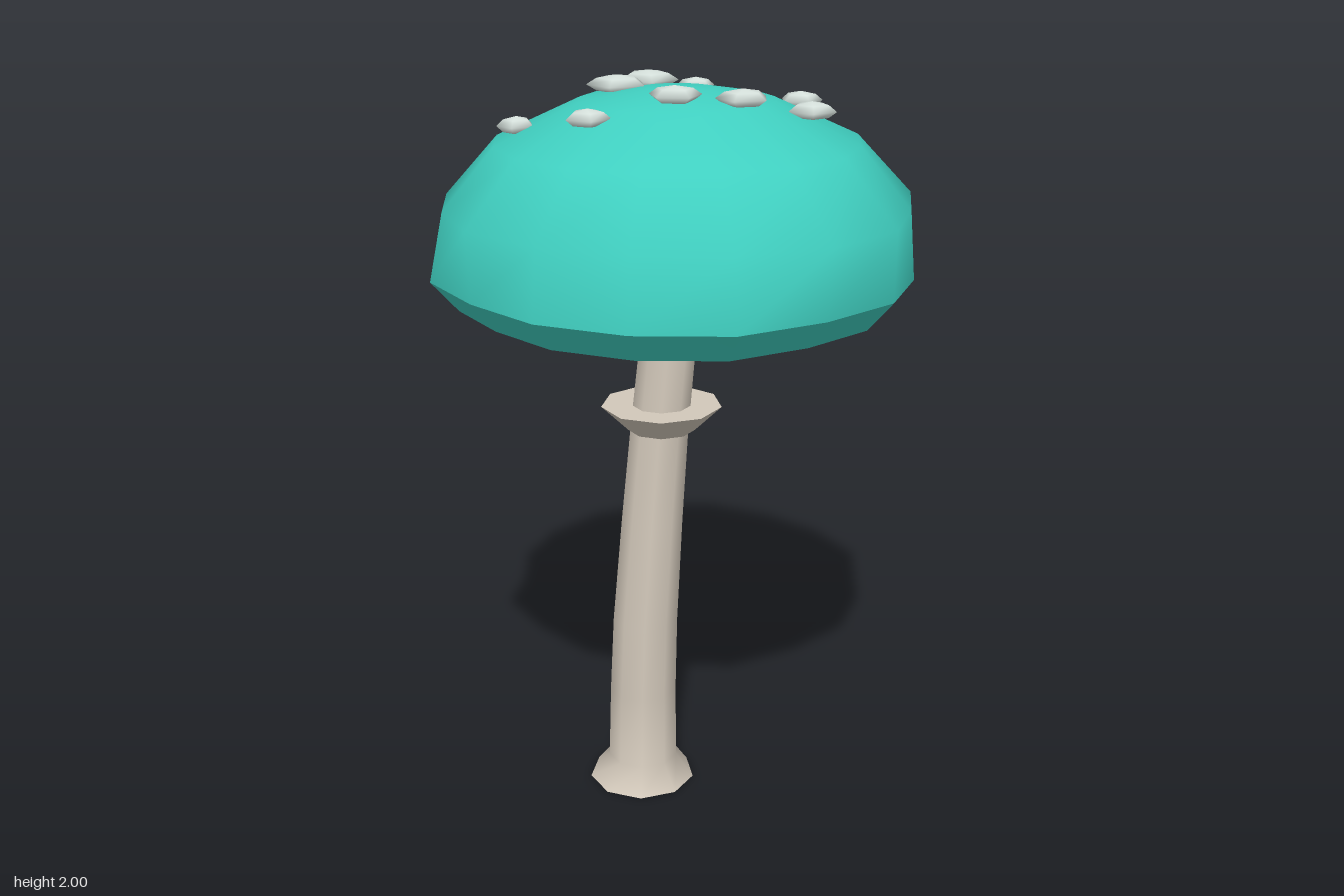
import * as THREE from 'three';

const teal = new THREE.MeshStandardMaterial({ color: 0x40cfc0 });
teal.name = 'capTeal';
const cream = new THREE.MeshStandardMaterial({ color: 0xd2c8ba });
cream.name = 'stemCream';
const pale = new THREE.MeshStandardMaterial({ color: 0xd4dfda });
pale.name = 'spotPale';

// One horizontal ring of points; r is a radius or a function of the corner index.
function ring(n, r, y, x = 0, z = 0, turn = 0) {
  return Array.from({ length: n }, (_, i) => {
    const a = turn + (i / n) * Math.PI * 2;
    const k = typeof r === 'function' ? r(i) : r;
    return [x + k * Math.cos(a), y, z + k * Math.sin(a)];
  });
}

// Smooth skin through successive rings (upward faces out, centre-to-rim faces down).
function loft(name, rings, material) {
  const n = rings[0].length;
  const index = [];
  for (let j = 0; j < rings.length - 1; j++) {
    for (let i = 0; i < n; i++) {
      const a = j * n + i, b = j * n + ((i + 1) % n);
      index.push(a, a + n, b, b, a + n, b + n);
    }
  }
  const geo = new THREE.BufferGeometry();
  geo.setAttribute('position', new THREE.Float32BufferAttribute(rings.flat(2), 3));
  geo.setIndex(index);
  geo.computeVertexNormals();
  const mesh = new THREE.Mesh(geo, material);
  mesh.name = name;
  return mesh;
}

function buildCap() {
  const cap = new THREE.Group();
  cap.name = 'cap';
  // Slightly uneven radii for the two widest rings
  const low = [.62, .63, .62, .645, .635, .628, .615, .648, .6, .61, .615, .62, .63, .623, .62, .62];
  const high = [.605, .632, .636, .62, .62, .61, .622, .61, .625, .628, .64, .648, .635, .61, .615, .64];
  const rim = ring(16, i => low[i], 1.5);
  const base = ring(16, i => low[i] * 0.89, 1.42);
  cap.add(
    loft('capDome', [
      rim,
      ring(16, i => high[i], 1.68),
      ring(16, i => 0.48 + (high[i] - 0.625) * 0.4, 1.84),
      ring(16, 0.255, 1.945),
      ring(16, 0.1, 1.972),
      ring(16, 0, 1.978),
    ], teal),
    loft('capSkirt', [base, rim], teal),
    loft('capUnderside', [ring(16, 0, 1.42), base], teal),
  );
  return cap;
}

function buildStem() {
  const stem = new THREE.Group();
  stem.name = 'stem';
  // Height, radius, centre x, centre z along the gentle lean
  const path = [
    [0, .15, -.095, .05], [.07, .098, -.092, .05], [.28, .094, -.09, .048], [.5, .091, -.083, .044],
    [.8, .085, -.064, .035], [1.06, .08, -.045, .024], [1.44, .075, -.01, .01],
  ];
  const rings = path.map(([y, r, x, z]) => ring(9, r, y, x, z));
  stem.add(
    loft('stemShaft', rings, cream),
    loft('stemFoot', [ring(9, 0, 0, -.095, .05), rings[0]], cream),
  );
  return stem;
}

// Flared collar around the stem
function buildCollar() {
  const collar = new THREE.Group();
  collar.name = 'collar';
  const x = -.04, z = .017;
  const bottom = ring(9, .092, 1.06, x, z), top = ring(9, .165, 1.13, x, z);
  collar.add(
    loft('collarFlare', [bottom, top], cream),
    loft('collarTop', [top, ring(9, 0, 1.13, x, z)], cream),
    loft('collarBottom', [ring(9, 0, 1.06, x, z), bottom], cream),
  );
  return collar;
}

function buildSpots() {
  const spots = new THREE.Group();
  spots.name = 'spots';
  // x, z, radius, height of the middle
  const places = [
    [-.105, -.155, .078, 1.973], [-.165, -.045, .078, 1.973], [0, -.285, .052, 1.94],
    [.29, -.245, .056, 1.915], [.345, .005, .062, 1.925], [.185, .11, .067, 1.967],
    [.02, .145, .067, 1.976], [-.175, .255, .057, 1.93], [-.395, .11, .049, 1.884],
  ];
  places.forEach(([x, z, r, y], i) => {
    const t = i * 0.35;
    spots.add(loft('spot' + (i + 1), [
      ring(5, 0, y - .02, x, z, t),
      ring(5, r * .7, y - .016, x, z, t),
      ring(5, r * 1.04, y, x, z, t),
      ring(5, r * .7, y + .016, x, z, t),
      ring(5, 0, y + .024, x, z, t),
    ], pale));
  });
  return spots;
}

export function createModel() {
  const model = new THREE.Group();
  model.name = 'mushroom';
  model.add(buildStem(), buildCollar(), buildCap(), buildSpots());
  return model;
}
